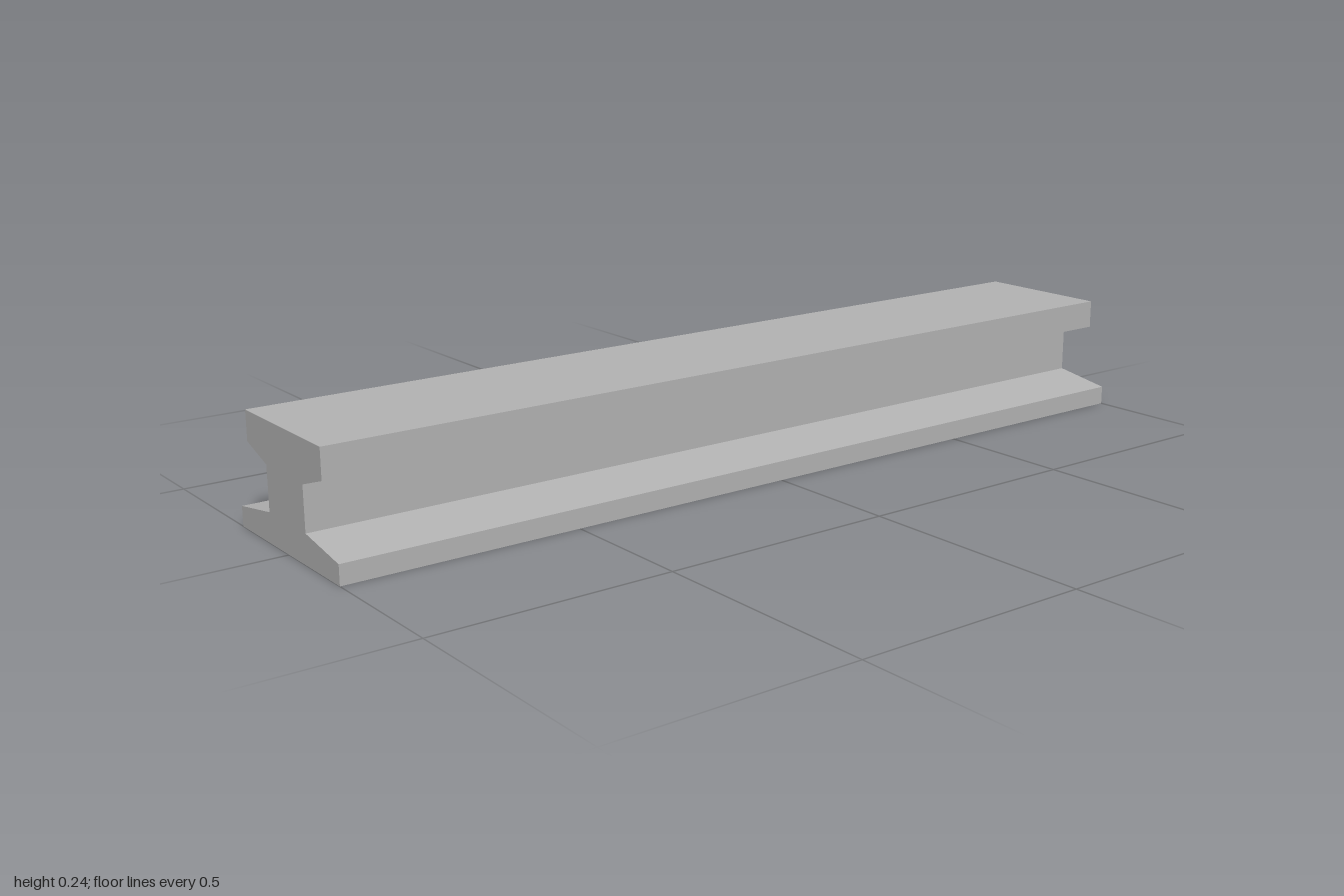
import * as THREE from 'three';

export function createModel() {
  const model = new THREE.Group();
  model.name = 'railSection';

  const steel = new THREE.MeshStandardMaterial({ color: 0xb4b4b4 });
  steel.name = 'steel grey';

  // Half of the rail profile, from foot to head: [half width, height]
  const half = [
    [0.204, 0], [0.204, 0.041],     // foot
    [0.076, 0.062], [0.076, 0.154], // web
    [0.156, 0.18], [0.156, 0.242],  // head
  ];
  const mirrored = half.map(([w, y]) => [-w, y]).reverse();
  const profile = new THREE.Shape([...half, ...mirrored].map(([w, y]) => new THREE.Vector2(w, y)));

  // Sweep the profile along x, centred
  const length = 2;
  const geometry = new THREE.ExtrudeGeometry(profile, { depth: length, bevelEnabled: false });
  geometry.translate(0, 0, -length / 2);
  geometry.rotateY(Math.PI / 2);

  const rail = new THREE.Mesh(geometry, steel);
  rail.name = 'rail';
  model.add(rail);
  return model;
}
